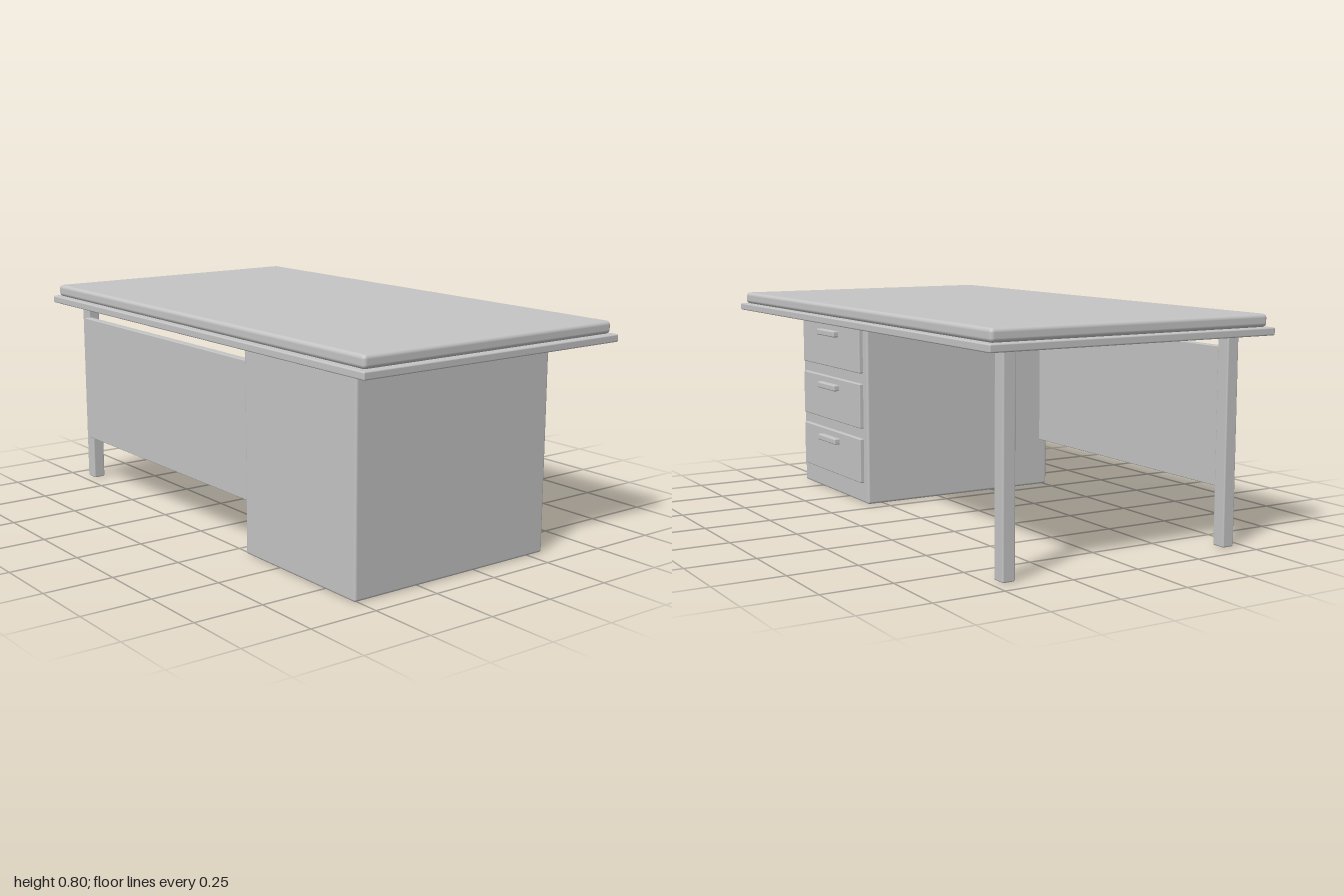
import * as THREE from 'three';
import { RoundedBoxGeometry } from 'three/addons/geometries/RoundedBoxGeometry.js';

export function createModel() {
  const desk = new THREE.Group();
  desk.name = 'desk';
  const grey = new THREE.MeshStandardMaterial({ color: 0xc4c4c4 });
  grey.name = 'light grey';

  // Softly rounded block given by its [min, max] extent on each axis
  function block(name, [x0, x1], [y0, y1], [z0, z1], radius, parent = desk) {
    const geometry = new RoundedBoxGeometry(x1 - x0, y1 - y0, z1 - z0, 3, radius);
    const mesh = new THREE.Mesh(geometry, grey);
    mesh.position.set((x0 + x1) / 2, (y0 + y1) / 2, (z0 + z1) / 2);
    mesh.name = name;
    parent.add(mesh);
    return mesh;
  }

  // Two-layer top
  block('deskTop', [-0.54, 0.54], [0.755, 0.8], [-0.98, 0.98], 0.014);
  block('topFrame', [-0.556, 0.556], [0.728, 0.755], [-1, 1], 0.005);

  // Drawer cabinet under the front end
  block('cabinet', [-0.512, 0.315], [0.003, 0.724], [0.31, 0.91], 0.009);

  // Three drawers with bar handles, opening to +x
  for (let i = 0; i < 3; i++) {
    const drawer = new THREE.Group();
    drawer.name = 'drawer' + (i + 1);
    drawer.position.y = 0.083 + i * 0.2155;
    desk.add(drawer);
    block('drawerFront', [0.305, 0.331], [0, 0.174], [0.346, 0.876], 0.004, drawer);
    block('drawerHandle', [0.326, 0.353], [0.125, 0.149], [0.534, 0.694], 0.005, drawer);
  }

  // Back legs
  for (const side of [-1, 1]) {
    const x = side * 0.44;
    block(side > 0 ? 'leftLeg' : 'rightLeg', [x - 0.023, x + 0.023], [0.003, 0.726], [-0.926, -0.873], 0.005);
  }

  // Panel closing the long side
  block('modestyPanel', [-0.506, -0.476], [0.192, 0.68], [-0.83, 0.32], 0.003);

  return desk;
}
